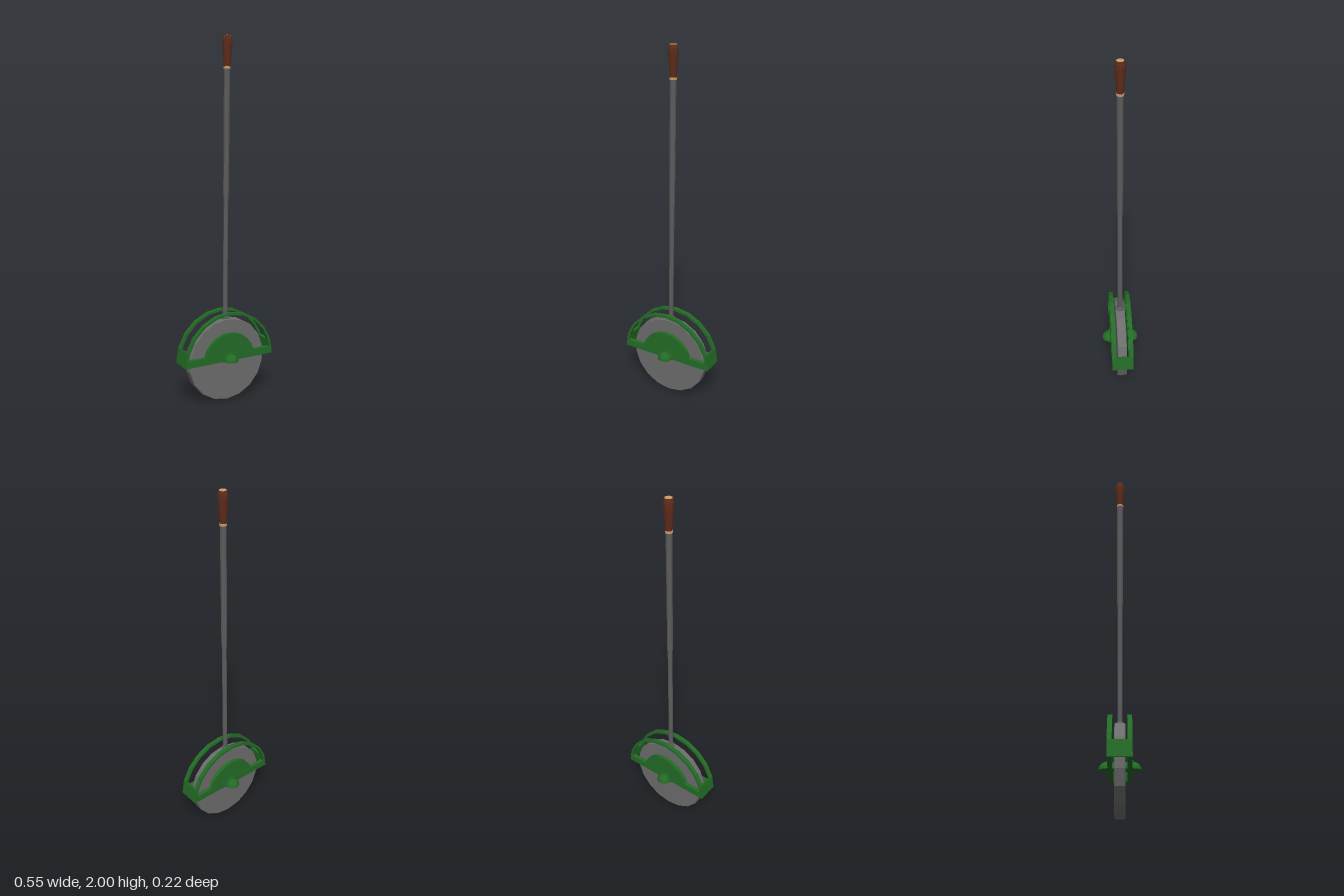
import * as THREE from 'three';

const mat = (color) => new THREE.MeshStandardMaterial({ color, flatShading: true });
const green = mat(0x236b26), greyWheel = mat(0x6c6c6c), greyPole = mat(0x5c5c5c);
const brown = mat(0x5e2c1c), tan = mat(0xcf9c62);

const AXLE_Y = 0.237;

function add(parent, name, geometry, material, x = 0, y = 0, z = 0) {
  const mesh = new THREE.Mesh(geometry, material);
  mesh.name = name;
  mesh.position.set(x, y, z);
  parent.add(mesh);
  return mesh;
}

const arcPoints = (r, a0, a1, steps) => Array.from({ length: steps + 1 }, (_, i) => {
  const a = a0 + (a1 - a0) * i / steps;
  return new THREE.Vector2(r * Math.cos(a), r * Math.sin(a));
});

// Solid curved strip, extruded along z and centred on it
function strip(rOuter, rInner, a0, a1, steps, depth) {
  const shape = new THREE.Shape([
    ...arcPoints(rOuter, a0, a1, steps),
    ...arcPoints(rInner, a1, a0, steps),
  ]);
  return slab(shape, depth);
}

function slab(shape, depth) {
  return new THREE.ExtrudeGeometry(shape, { depth, bevelEnabled: false })
    .translate(0, 0, -depth / 2);
}

const halfDisc = (r, steps, depth) =>
  slab(new THREE.Shape(arcPoints(r, 0, Math.PI, steps)), depth);

// Surface turned around y from [radius, height] pairs
const lathe = (pairs, sides) =>
  new THREE.LatheGeometry(pairs.map(([r, y]) => new THREE.Vector2(r, y)), sides);

export function createModel() {
  const model = new THREE.Group();
  model.name = 'wheelOnPole';

  // Wheel with slightly bevelled rims
  const wheelShape = [[0, -0.027], [0.231, -0.027], [0.235, -0.023],
    [0.235, 0.023], [0.231, 0.027], [0, 0.027]];
  add(model, 'wheel', lathe(wheelShape, 18).rotateX(Math.PI / 2), greyWheel, 0, AXLE_Y);

  // Guard: everything above the axle line
  const guard = new THREE.Group();
  guard.name = 'guard';
  guard.position.y = 0.24;
  model.add(guard);

  const step = Math.PI / 10;
  add(guard, 'leftEndWall', strip(0.275, 0.261, 0, step, 1, 0.122), green);
  add(guard, 'rightEndWall', strip(0.275, 0.261, Math.PI - step, Math.PI, 1, 0.122), green);
  add(guard, 'axle', halfDisc(0.04, 8, 0.08), green);

  for (const front of [true, false]) {
    const side = new THREE.Group();
    side.name = front ? 'frontSide' : 'backSide';
    side.rotation.y = front ? 0 : Math.PI;
    guard.add(side);

    // Hoop, lower rail and half-round cover
    add(side, 'hoop', strip(0.275, 0.261, 0, Math.PI, 10, 0.024), green, 0, 0, 0.049);
    add(side, 'rail', new THREE.BoxGeometry(0.526, 0.04, 0.023), green, 0, 0.02, 0.0495);
    add(side, 'cover', halfDisc(0.157, 12, 0.022), green, 0, 0, 0.0495);

    // Half hub: flange, quarter dome and its flat underside
    add(side, 'hubFlange', halfDisc(0.05, 10, 0.008), green, 0, 0, 0.063);
    const dome = new THREE.SphereGeometry(0.041, 12, 5, 0, Math.PI, 0, Math.PI / 2);
    add(side, 'hubDome', dome, green, 0, 0, 0.067);
    const under = new THREE.CircleGeometry(0.041, 12, 0, Math.PI).rotateX(Math.PI / 2);
    add(side, 'hubUnderside', under, green, 0, 0, 0.067);
  }

  // Slightly leaning pole with its grip; local y runs along the pole
  const pole = new THREE.Group();
  pole.name = 'pole';
  pole.position.y = 0.46;
  pole.rotation.z = -0.009;
  model.add(pole);

  add(pole, 'collar', lathe([[0, 0], [0.023, 0], [0.023, 0.018], [0.016, 0.028], [0, 0.028]], 10), greyPole);
  add(pole, 'lowerShaft', new THREE.CylinderGeometry(0.0135, 0.0135, 0.71, 10), greyPole, 0, 0.355);
  add(pole, 'upperShaft', new THREE.CylinderGeometry(0.017, 0.016, 0.68, 10), greyPole, 0, 1.04);
  add(pole, 'gripRing', new THREE.CylinderGeometry(0.0195, 0.0195, 0.012, 10), tan, 0, 1.374);
  add(pole, 'grip', lathe([[0, 1.379], [0.018, 1.379], [0.022, 1.43], [0.027, 1.5],
    [0.026, 1.52], [0.021, 1.538], [0, 1.538]], 10), brown);
  add(pole, 'gripCap', new THREE.CylinderGeometry(0.019, 0.02, 0.006, 10), tan, 0, 1.537);

  return model;
}
